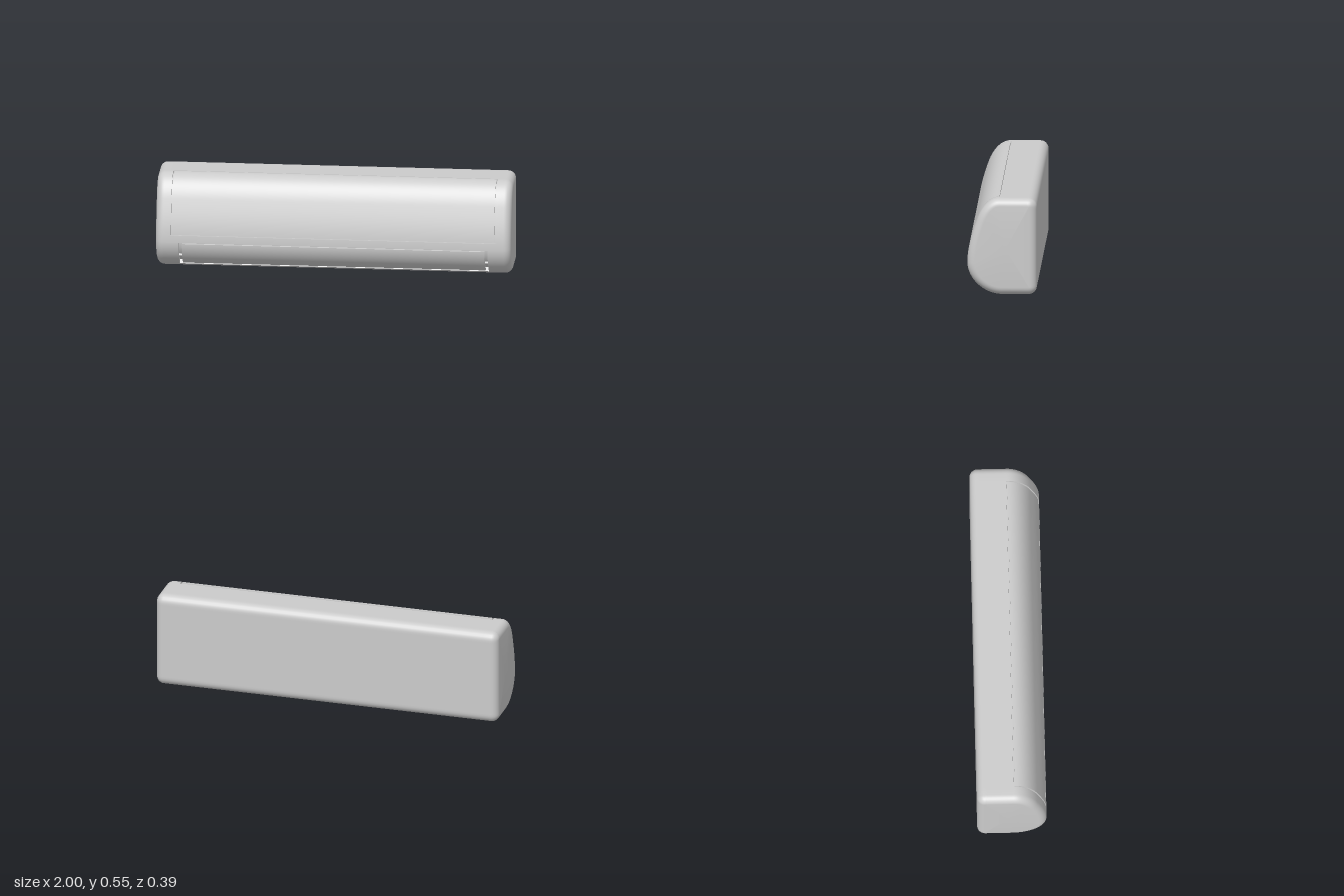
import * as THREE from 'three';
import { toCreasedNormals } from 'three/addons/utils/BufferGeometryUtils.js';

const BACK = -0.195, TOP = 0.545, CORNER = 0.046, END = 0.043;
const material = new THREE.MeshStandardMaterial({ color: 0xcccccc });

// Side profile as (z, y): top, bulging front, bottom, rounded back
function sideProfile() {
  const v = (z, y) => new THREE.Vector2(z, y);
  const path = new THREE.CurvePath();
  const line = (a, b) => path.add(new THREE.LineCurve(a, b));
  const curve = (a, b, c, d) => path.add(new THREE.CubicBezierCurve(a, b, c, d));
  const k = CORNER * 0.448, inner = BACK + CORNER;
  line(v(inner, TOP), v(0.015, TOP));
  curve(v(0.015, TOP), v(0.07, TOP), v(0.117, 0.495), v(0.143, 0.42));
  curve(v(0.143, 0.42), v(0.171, 0.34), v(0.195, 0.26), v(0.195, 0.18));
  curve(v(0.195, 0.18), v(0.195, 0.085), v(0.1, 0), v(0, 0));
  line(v(0, 0), v(inner, 0));
  curve(v(inner, 0), v(BACK + k, 0), v(BACK, k), v(BACK, CORNER));
  line(v(BACK, CORNER), v(BACK, TOP - CORNER));
  curve(v(BACK, TOP - CORNER), v(BACK, TOP - k), v(BACK + k, TOP), v(inner, TOP));
  return path;
}
const profile = sideProfile();
const profileLength = profile.getLength();

// Profile point at u, moved inward by inset
function pointAt(u, inset) {
  const p = profile.getPoint(u), t = profile.getTangent(u);
  return new THREE.Vector2(p.x + t.y * inset, p.y - t.x * inset);
}

// Position along the profile where the front passes a height
function uAtHeight(y) {
  let lo = (0.015 - BACK - CORNER) / profileLength, hi = 0.6;
  for (let i = 0; i < 40; i++) {
    const mid = (lo + hi) / 2;
    if (profile.getPoint(mid).y > y) lo = mid; else hi = mid;
  }
  return lo;
}

// Sharp edges stay sharp; enlarged meanwhile so close vertices stay distinct
function creased(geometry) {
  geometry.scale(200, 200, 200);
  const result = toCreasedNormals(geometry, 0.5);
  result.scale(1 / 200, 1 / 200, 1 / 200);
  return result;
}

function addMesh(group, name, geometry) {
  const mesh = new THREE.Mesh(geometry, material);
  mesh.name = name;
  group.add(mesh);
  return mesh;
}

// Recesses of the body: half width, start and end along the profile, depth
const panelStart = (0.01 - BACK - CORNER) / profileLength;
const recesses = [
  { x: 0.914, u0: panelStart, u1: uAtHeight(0.22), depth: 0.012 },
  { x: 0.87, u0: uAtHeight(0.177), u1: uAtHeight(0.03), depth: 0.025 },
];

// Housing: the profile swept along x, rounded at the ends, with sunk recesses
function housingGeometry() {
  const e = 0.0002;
  const rows = [];
  for (let i = 0; i <= 140; i++) rows.push(i / 140);
  for (const r of recesses) rows.push(r.u0 - e, r.u0 + e, r.u1 - e, r.u1 + e);
  rows.sort((a, b) => a - b);

  const half = [];
  for (const r of recesses) half.push({ x: r.x - e, inset: 0 }, { x: r.x + e, inset: 0 });
  half.sort((a, b) => a.x - b.x);
  for (let i = 0; i <= 8; i++) {
    const a = (i / 8) * Math.PI / 2;
    half.push({ x: 1 - END + END * Math.sin(a), inset: END * (1 - Math.cos(a)) });
  }
  half.push({ x: 1, inset: END, centre: true });
  const columns = [...half.map((c) => ({ ...c, x: -c.x })).reverse(), ...half];

  const positions = [], index = [];
  for (const c of columns) {
    for (const u of rows) {
      const hole = recesses.find((r) => Math.abs(c.x) < r.x && u > r.u0 && u < r.u1);
      const p = c.centre ? { x: -0.02, y: 0.26 } : pointAt(u, hole ? hole.depth : c.inset);
      positions.push(c.x, p.y, p.x);
    }
  }
  const n = rows.length;
  for (let i = 0; i < columns.length - 1; i++) {
    for (let j = 0; j < n - 1; j++) {
      const a = i * n + j, b = a + n;
      if (!columns[i].centre) index.push(a, a + 1, b);
      if (!columns[i + 1].centre) index.push(a + 1, b + 1, b);
      if (columns[i].centre) index.push(a, a + 1, b + 1, a, b + 1, b);
      if (columns[i + 1].centre) index.push(a + 1, b + 1, b);
    }
  }
  const geometry = new THREE.BufferGeometry();
  geometry.setAttribute('position', new THREE.Float32BufferAttribute(positions, 3));
  geometry.setIndex(index);
  return creased(geometry);
}

// Curved slab that follows the profile between two insets
function slabGeometry(u0, u1, halfWidth, outer, inner) {
  const steps = 36, front = [], rear = [];
  for (let i = 0; i <= steps; i++) {
    const u = THREE.MathUtils.lerp(u0, u1, i / steps);
    const f = pointAt(u, outer), r = pointAt(u, inner);
    front.push(new THREE.Vector2(-f.x, f.y));
    rear.unshift(new THREE.Vector2(-r.x, r.y));
  }
  const geometry = new THREE.ExtrudeGeometry(new THREE.Shape([...front, ...rear]), {
    depth: halfWidth * 2, bevelEnabled: false,
  });
  geometry.translate(0, 0, -halfWidth);
  geometry.rotateY(Math.PI / 2);
  return creased(geometry);
}

export function createModel() {
  const group = new THREE.Group();
  group.name = 'wallAirConditioner';
  addMesh(group, 'housing', housingGeometry());

  // Front cover, set in its recess with a narrow gap all round
  const [panel, outlet] = recesses;
  const gap = 0.007 / profileLength;
  addMesh(group, 'frontPanel',
    slabGeometry(panel.u0 + gap, panel.u1 - gap, panel.x - 0.008, 0, 0.0125));

  // Air outlet flap and its pivot pins
  addMesh(group, 'outletFlap',
    slabGeometry(outlet.u0 + gap, outlet.u1 - gap * 0.7, outlet.x - 0.018, 0.003, 0.015));
  const pivot = pointAt(uAtHeight(0.09), 0.012);
  for (const side of [-1, 1]) {
    const pin = addMesh(group, side > 0 ? 'leftPivot' : 'rightPivot',
      new THREE.CylinderGeometry(0.008, 0.008, 0.03, 20));
    pin.rotation.z = Math.PI / 2;
    pin.position.set(side * 0.86, pivot.y, pivot.x);
  }
  return group;
}
